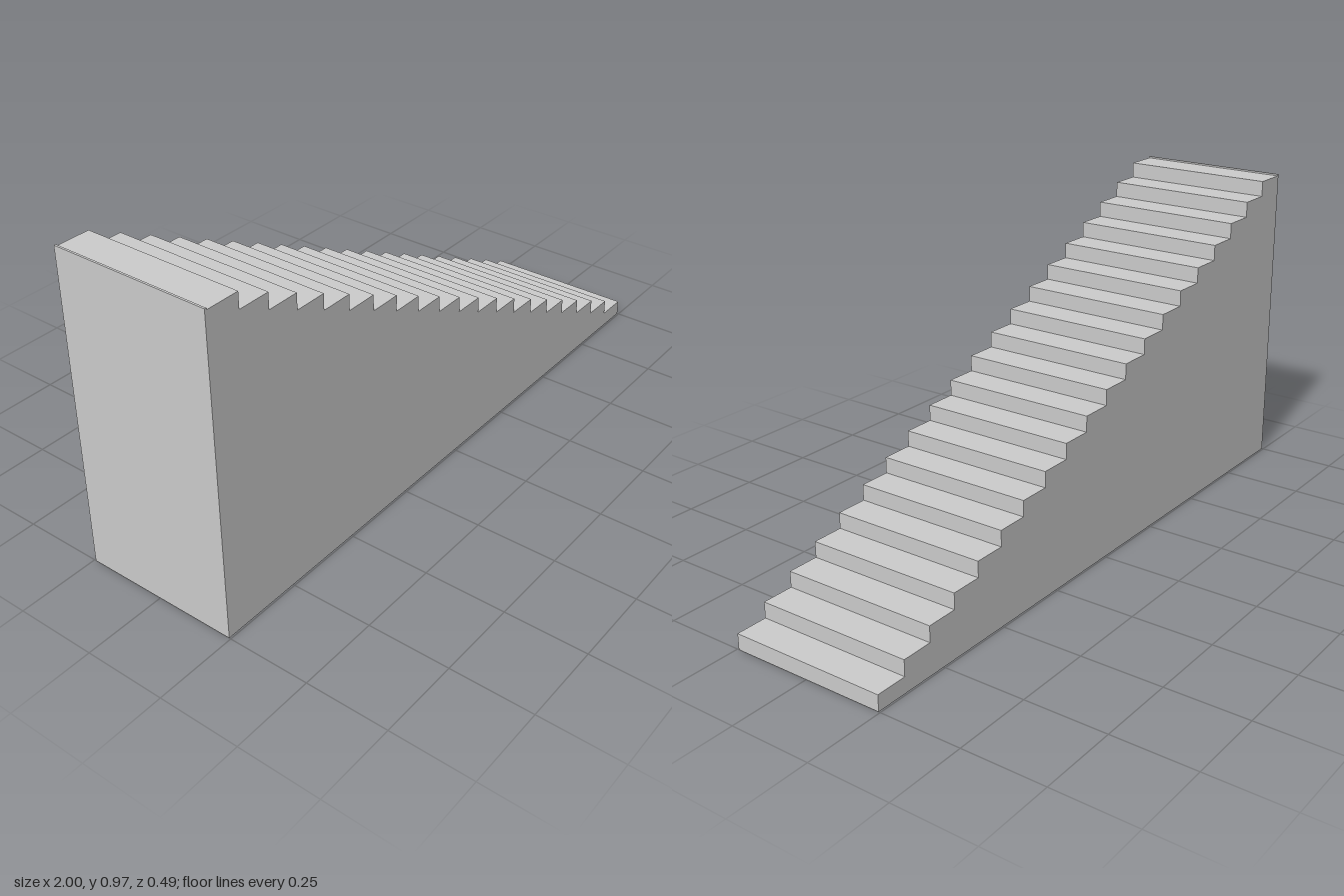
import * as THREE from 'three';

export function createModel() {
  const group = new THREE.Group();
  group.name = 'staircase';

  const steps = 20, rise = 0.0484, run = 0.0995, width = 0.49;
  const lipWidth = 0.006, lipHeight = 0.005;

  // Side profile: flat base, then risers and treads climbing towards -x
  const profile = new THREE.Shape();
  profile.moveTo(-1, 0);
  profile.lineTo(1, 0);
  for (let i = 0; i < steps; i++) {
    const top = (i + 1) * rise;
    const back = i === steps - 1 ? -1 + lipWidth : 1 - (i + 1) * run;
    profile.lineTo(1 - i * run, top);
    profile.lineTo(back, top);
  }

  // Thin lip along the back edge of the top tread
  const lipTop = steps * rise + lipHeight;
  profile.lineTo(-1 + lipWidth, lipTop);
  profile.lineTo(-1, lipTop);
  profile.closePath();

  // Solid flight of stairs
  const geometry = new THREE.ExtrudeGeometry(profile, { depth: width, bevelEnabled: false });
  geometry.translate(0, 0, -width / 2);
  const stairs = new THREE.Mesh(
    geometry,
    new THREE.MeshStandardMaterial({ color: 0xcccccc, flatShading: true })
  );
  stairs.name = 'stairFlight';
  group.add(stairs);

  return group;
}
